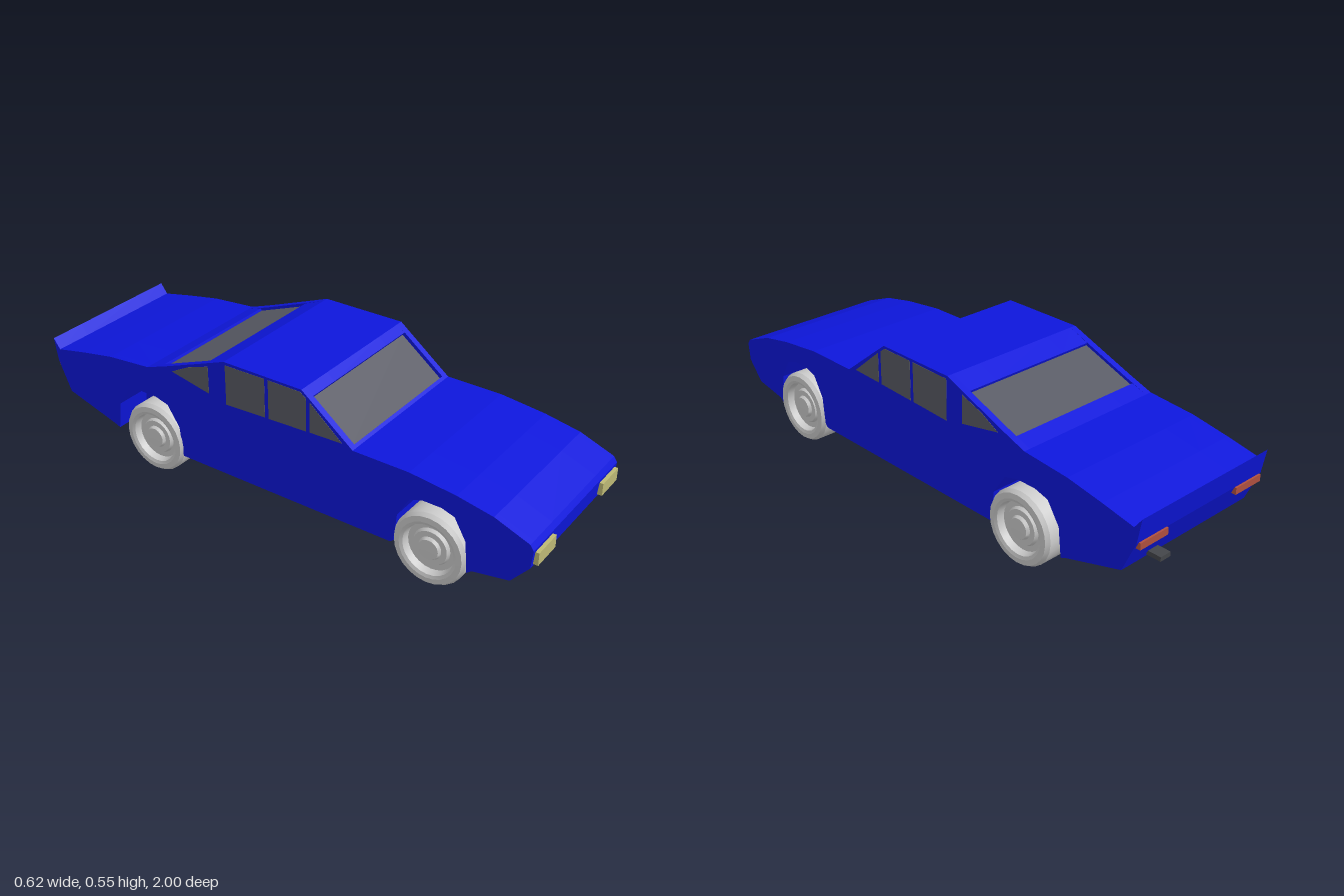
import * as THREE from 'three';
import { toCreasedNormals } from 'three/addons/utils/BufferGeometryUtils.js';

const paint = new THREE.MeshStandardMaterial({ color: 0x0d16dc, flatShading: true });
const glass = new THREE.MeshStandardMaterial({ color: 0x585a64 });
const grey = new THREE.MeshStandardMaterial({ color: 0xcccccc });
const lampYellow = new THREE.MeshStandardMaterial({ color: 0xbdb975 });
const lampRed = new THREE.MeshStandardMaterial({ color: 0xb0503f });
const darkMetal = new THREE.MeshStandardMaterial({ color: 0x44464a });

const HALF = 0.297;    // half body width
const WELL = 0.155;    // inner wall of the wheel wells
const FRAME = 0.273;   // half width of the recessed screens
const AXLES = [{ name: 'front', z: 0.635, archZ: 0.637, archW: 0.135 },
               { name: 'rear', z: -0.515, archZ: -0.54, archW: 0.155 }];

// Recesses of the front and rear screens, as [z, y]
const SCREEN_FRONT = [[0.33, 0.398], [0.321, 0.385], [0.161, 0.509], [0.17, 0.522]];
const SCREEN_REAR = [[-0.26, 0.514], [-0.256, 0.502], [-0.466, 0.423], [-0.47, 0.435]];

// Extrude a [z, y] outline across x from x0 to x1
function slab(points, x0, x1) {
  const shape = new THREE.Shape(points.map(([z, y]) => new THREE.Vector2(z, y)));
  const g = new THREE.ExtrudeGeometry(shape, { depth: x1 - x0, bevelEnabled: false });
  return g.rotateY(-Math.PI / 2).translate(x1, 0, 0);
}

// Underside cut for one wheel, walking from rear to front
function arch({ archZ, archW }) {
  return [[-1, 0.11], [-0.92, 0.215], [-0.6, 0.29], [-0.25, 0.305], [0.25, 0.305],
    [0.6, 0.29], [0.92, 0.215], [1, 0.1]].map(([u, y]) => [archZ + u * archW, y]);
}

// Side outline of the car, with optional screen recesses and wheel arches
function bodyOutline(recessed, arches) {
  return [
    [0.988, 0.278], [0.975, 0.297], [0.85, 0.345], [0.72, 0.37], [0.55, 0.389], [0.34, 0.39],
    ...(recessed ? SCREEN_FRONT : []),
    [0.14, 0.546], [-0.18, 0.546],
    ...(recessed ? SCREEN_REAR : [[-0.3, 0.5], [-0.44, 0.447]]),
    [-0.53, 0.415], [-0.71, 0.4], [-0.85, 0.375], [-0.972, 0.35], [-1, 0.388],
    [-0.985, 0.3], [-0.935, 0.185], [-0.72, 0.12],
    ...(arches ? arch(AXLES[1]) : []),
    [-0.38, 0.1], [0.49, 0.1],
    ...(arches ? arch(AXLES[0]) : []),
    [0.79, 0.115], [0.92, 0.138], [0.982, 0.212],
  ];
}

function wheelGeometry() {
  const profile = [[0, -0.075], [0.115, -0.075], [0.133, -0.058], [0.133, 0.058], [0.124, 0.073],
    [0.105, 0.075], [0.094, 0.07], [0.088, 0.045], [0.068, 0.045], [0.062, 0.057],
    [0.042, 0.057], [0.036, 0.068], [0, 0.07]];
  const g = new THREE.LatheGeometry(profile.map(([r, y]) => new THREE.Vector2(r, y)), 24);
  return toCreasedNormals(g, 0.5);
}

export function createModel() {
  const car = new THREE.Group();
  car.name = 'car';
  const add = (name, geometry, material, parent = car) => {
    const mesh = new THREE.Mesh(geometry, material);
    mesh.name = name;
    parent.add(mesh);
    return mesh;
  };
  const box = (name, size, pos, material) =>
    add(name, new THREE.BoxGeometry(...size), material).position.set(...pos);

  // Body shell: a full-depth core, arched flanks and outer skins
  const body = new THREE.Group();
  body.name = 'body';
  car.add(body);
  add('bodyCore', slab(bodyOutline(true, false), -WELL, WELL), paint, body);
  for (const [a, b, recessed] of [[WELL, FRAME, true], [FRAME, HALF, false]]) {
    const outline = bodyOutline(recessed, true);
    add('leftFlank', slab(outline, a, b), paint, body);
    add('rightFlank', slab(outline, -b, -a), paint, body);
  }

  // Front and rear screens lying on the recess floors
  for (const [name, r] of [['windshield', SCREEN_FRONT], ['rearWindow', SCREEN_REAR]]) {
    const lift = ([z, y]) => [z, y + 0.003];
    add(name, slab([r[1], lift(r[1]), lift(r[2]), r[2]], -FRAME, FRAME), glass);
  }

  // Side windows
  const sideWindows = {
    ventWindow: [[0.3, 0.402], [0.172, 0.51], [0.172, 0.398]],
    frontSideWindow: [[0.158, 0.397], [0.158, 0.52], [0.135, 0.537], [0.005, 0.537], [0.005, 0.391]],
    rearSideWindow: [[-0.01, 0.391], [-0.01, 0.537], [-0.175, 0.535], [-0.175, 0.384]],
    quarterWindow: [[-0.25, 0.402], [-0.25, 0.506], [-0.34, 0.475], [-0.415, 0.435]],
  };
  for (const [name, points] of Object.entries(sideWindows)) {
    add(name, slab(points, HALF - 0.002, HALF + 0.001), glass);
    add(name, slab(points, -HALF - 0.001, -HALF + 0.002), glass);
  }

  // Lamps
  for (const s of [-1, 1]) {
    box('headlight', [0.115, 0.046, 0.03], [s * 0.225, 0.244, 0.985], lampYellow);
    box('taillight', [0.125, 0.024, 0.02], [s * 0.225, 0.288, -0.982], lampRed);
  }

  // Chin spoiler, floor pan and exhaust
  add('chinSpoiler', slab([[0.89, 0.13], [0.885, 0.118], [0.83, 0.106], [0.77, 0.112], [0.77, 0.13]],
    -0.25, 0.25), paint);
  box('floorPan', [0.3, 0.015, 0.16], [0, 0.1, 0.05], paint);
  box('exhaust', [0.045, 0.016, 0.1], [0.17, 0.203, -0.945], darkMetal);

  // Wheels
  const wheel = wheelGeometry();
  for (const { name, z } of AXLES) {
    for (const s of [-1, 1]) {
      const mesh = add(name + 'Wheel', wheel, grey);
      mesh.rotation.z = -s * Math.PI / 2;
      mesh.position.set(s * 0.235, 0.133, z);
    }
  }
  return car;
}
